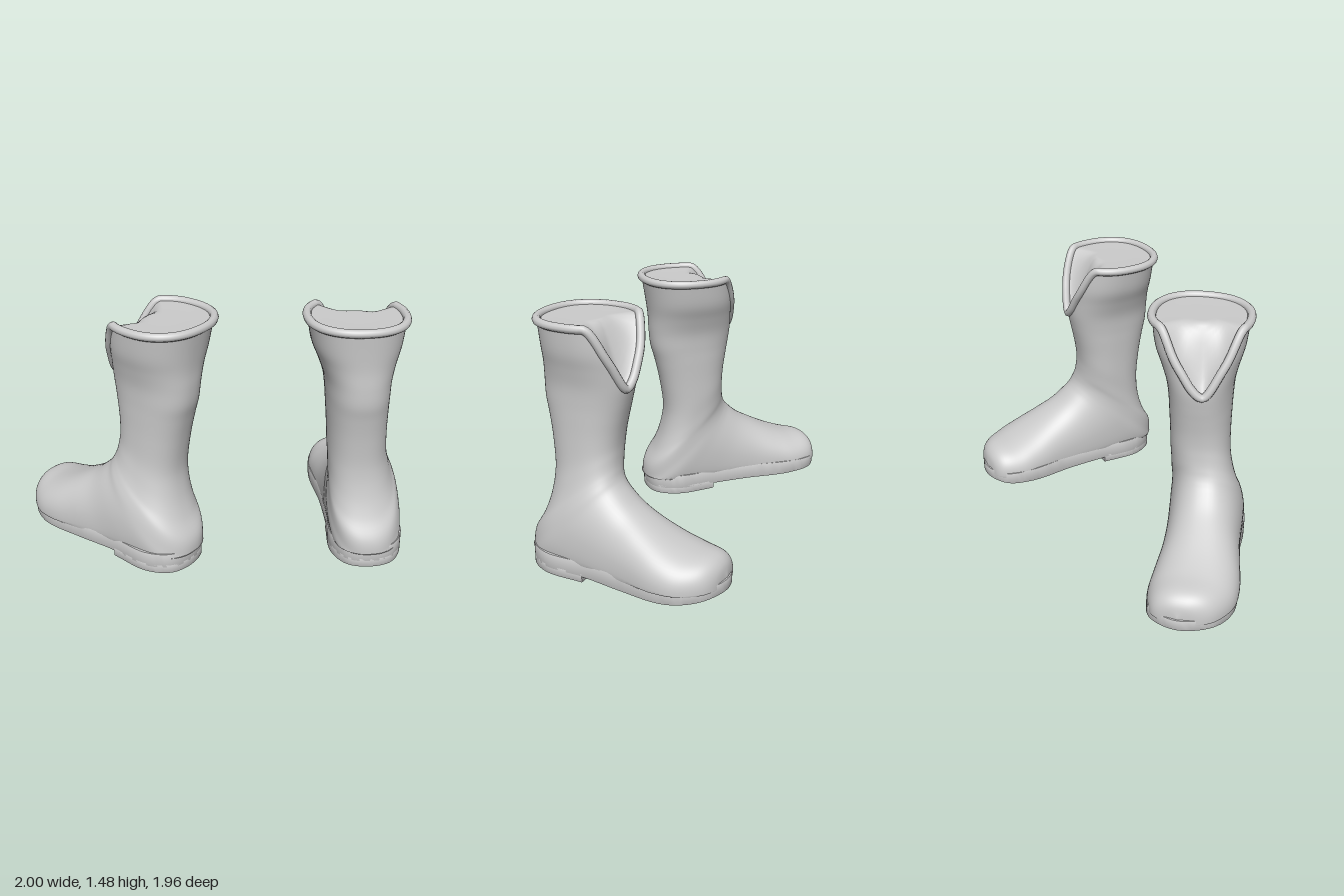
import * as THREE from 'three';
import { toCreasedNormals } from 'three/addons/utils/BufferGeometryUtils.js';

const SEG = 64;
const grey = new THREE.MeshStandardMaterial({ color: 0xcccccc });
const greyThin = new THREE.MeshStandardMaterial({ color: 0xcccccc, side: THREE.DoubleSide });

// Rings from toe tip round the heel and up the shaft:
// [front/top: forward, height], [back/bottom: forward, height], half width, inward shift
const RINGS = [
  [0.96, 0.14, 0.96, 0.06, 0, 0.03],
  [0.94, 0.21, 0.94, 0, 0.115, 0.025],
  [0.885, 0.255, 0.885, -0.04, 0.185, 0.01],
  [0.77, 0.28, 0.77, -0.07, 0.235, -0.01],
  [0.65, 0.325, 0.62, -0.08, 0.24, -0.02],
  [0.52, 0.39, 0.42, -0.08, 0.222, -0.016],
  [0.42, 0.45, 0.18, -0.08, 0.212, -0.004],
  [0.345, 0.515, -0.08, -0.07, 0.215, 0.006],
  [0.315, 0.55, -0.238, -0.03, 0.215, 0.014],
  [0.298, 0.58, -0.25, 0.08, 0.207, 0.02],
  [0.288, 0.61, -0.24, 0.18, 0.197, 0.03],
  [0.28, 0.645, -0.18, 0.29, 0.186, 0.043],
  [0.275, 0.69, -0.135, 0.42, 0.176, 0.055],
  [0.273, 0.75, -0.115, 0.57, 0.17, 0.068],
  [0.28, 0.83, -0.135, 0.75, 0.17, 0.075],
  [0.295, 0.92, -0.165, 0.9, 0.174, 0.08],
  [0.31, 1.0, -0.19, 1.0, 0.178, 0.083],
  [0.325, 1.1, -0.198, 1.1, 0.188, 0.087],
  [0.325, 1.2, -0.2, 1.2, 0.215, 0.094],
  [0.32, 1.3, -0.21, 1.3, 0.247, 0.102],
  [0.3, 1.44, -0.228, 1.44, 0.267, 0.108],
];
const LAST = RINGS.length - 1;
const COLLAR = 16; // ring where the notch zone starts
const curve = (f) => new THREE.CatmullRomCurve3(RINGS.map(f), false, 'catmullrom');
const frontLine = curve((r) => new THREE.Vector3(r[0], r[1], r[5]));
const backLine = curve((r) => new THREE.Vector3(r[2], r[3], r[4]));

// Point on the upper; ring is a fractional index into RINGS, a = 0 faces the toe.
// pose.side mirrors the boot, pose.bend tips the shaft forward
function upperPoint(ring, a, pose) {
  const p = frontLine.getPoint(ring / LAST), q = backLine.getPoint(ring / LAST);
  const soft = (v) => Math.sign(v) * Math.abs(v) ** 0.88;
  const c = soft(Math.cos(a)), s = soft(Math.sin(a));
  const y = (p.y + q.y) / 2 + (c * (p.y - q.y)) / 2;
  const forward = (p.x + q.x) / 2 + (c * (p.x - q.x)) / 2 + pose.bend * Math.max(0, (y - 0.55) / 0.9);
  return new THREE.Vector3(pose.side * (p.z + q.z * s), Math.max(y, 0.1), -forward);
}

// Ring index of the top edge, dipping into a rounded V at the front
function rimRing(a) {
  const d = Math.abs(Math.atan2(Math.sin(a + 0.18), Math.cos(a + 0.18)));
  return COLLAR + 0.9 + (LAST - COLLAR - 0.9) * THREE.MathUtils.smoothstep(d, 0, 0.97);
}
const rimPoint = (a, pose) => upperPoint(rimRing(a), a, pose);

// Closed-loop surface from point(row, angle)
function loft(rows, side, point) {
  const pos = [], index = [];
  for (let i = 0; i <= rows; i++) {
    for (let j = 0; j < SEG; j++) pos.push(...point(i, (j / SEG) * Math.PI * 2).toArray());
  }
  for (let i = 0; i < rows; i++) {
    for (let j = 0; j < SEG; j++) {
      const k = (j + 1) % SEG;
      const a = i * SEG + j, b = a + SEG, c = i * SEG + k, d = c + SEG;
      if (side > 0) index.push(a, b, c, b, d, c);
      else index.push(a, c, b, b, c, d);
    }
  }
  const g = new THREE.BufferGeometry();
  g.setAttribute('position', new THREE.Float32BufferAttribute(pos, 3));
  g.setIndex(index);
  g.computeVertexNormals();
  return g;
}

// Footprint (inward, forward), ending in a straight edge at maxForward for the heel
const OUTLINE = [
  [0.01, -0.235], [0.14, -0.2], [0.215, -0.07], [0.205, 0.2], [0.205, 0.45], [0.228, 0.74], [0.19, 0.895],
  [0.03, 0.968],
  [-0.155, 0.895], [-0.245, 0.74], [-0.232, 0.45], [-0.205, 0.2], [-0.2, -0.07], [-0.12, -0.2],
];
function footprint(side, maxForward) {
  const line = new THREE.CatmullRomCurve3(OUTLINE.map(([x, f]) => new THREE.Vector3(side * x, f, 0)), true);
  return new THREE.Shape(line.getPoints(96).slice(0, -1)
    .filter((p) => p.y <= maxForward)
    .map((p) => new THREE.Vector2(p.x, p.y)));
}

function slab(side, maxForward, bottom, top) {
  const bevel = 0.006;
  const g = new THREE.ExtrudeGeometry(footprint(side, maxForward), {
    depth: top - bottom - 2 * bevel, bevelThickness: bevel, bevelSize: bevel, bevelOffset: -bevel, bevelSegments: 2,
  });
  g.rotateX(-Math.PI / 2);
  g.translate(0, bottom + bevel, 0);
  // The underside rises towards the toe
  const p = g.attributes.position;
  for (let i = 0; i < p.count; i++) {
    const t = Math.max(0, -p.getZ(i) - 0.5) / 0.47;
    if (p.getY(i) < (bottom + top) / 2) p.setY(i, p.getY(i) + 0.028 * t * t);
  }
  return toCreasedNormals(g, 0.6);
}

function makeBoot(name, pose) {
  const boot = new THREE.Group();
  boot.name = name;
  const add = (part, geometry, material = grey) => {
    const m = new THREE.Mesh(geometry, material);
    m.name = part;
    boot.add(m);
  };

  // Foot and shaft
  const low = 80, high = 20;
  add('upper', loft(low + high, pose.side, (i, a) => {
    const ring = i <= low ? (COLLAR * i) / low
      : COLLAR + ((rimRing(a) - COLLAR) * (i - low)) / high;
    return upperPoint(ring, a, pose);
  }), greyThin);

  // Rolled edge round the opening
  const edge = Array.from({ length: 72 }, (_, i) => rimPoint((i / 72) * Math.PI * 2, pose));
  add('rim', new THREE.TubeGeometry(new THREE.CatmullRomCurve3(edge, true), 160, 0.024, 10, true));

  // Surface closing the opening, sloping down to the notch
  const centre = new THREE.Vector3(pose.side * 0.108, 1.437, -0.01 - pose.bend);
  add('lining', loft(14, pose.side, (i, a) => {
    const t = 1 - i / 14;
    const rim = rimPoint(a, pose);
    const v = centre.clone().lerp(rim, t);
    v.y = THREE.MathUtils.lerp(centre.y, rim.y, THREE.MathUtils.smoothstep(t, 0.35, 1));
    return v;
  }), greyThin);

  add('sole', slab(pose.side, 2, 0.035, 0.13));
  add('heel', slab(pose.side, 0.19, 0, 0.06));
  return boot;
}

export function createModel() {
  const model = new THREE.Group();
  model.name = 'boots';

  const right = makeBoot('rightBoot', { side: 1, bend: -0.025 });
  right.position.set(-0.62, 0.015, -0.01);
  right.rotation.y = 0.16;

  const left = makeBoot('leftBoot', { side: -1, bend: 0.045 });
  left.position.set(0.335, 0, 0.748);
  left.rotation.y = -0.66;

  model.add(right, left);
  return model;
}
